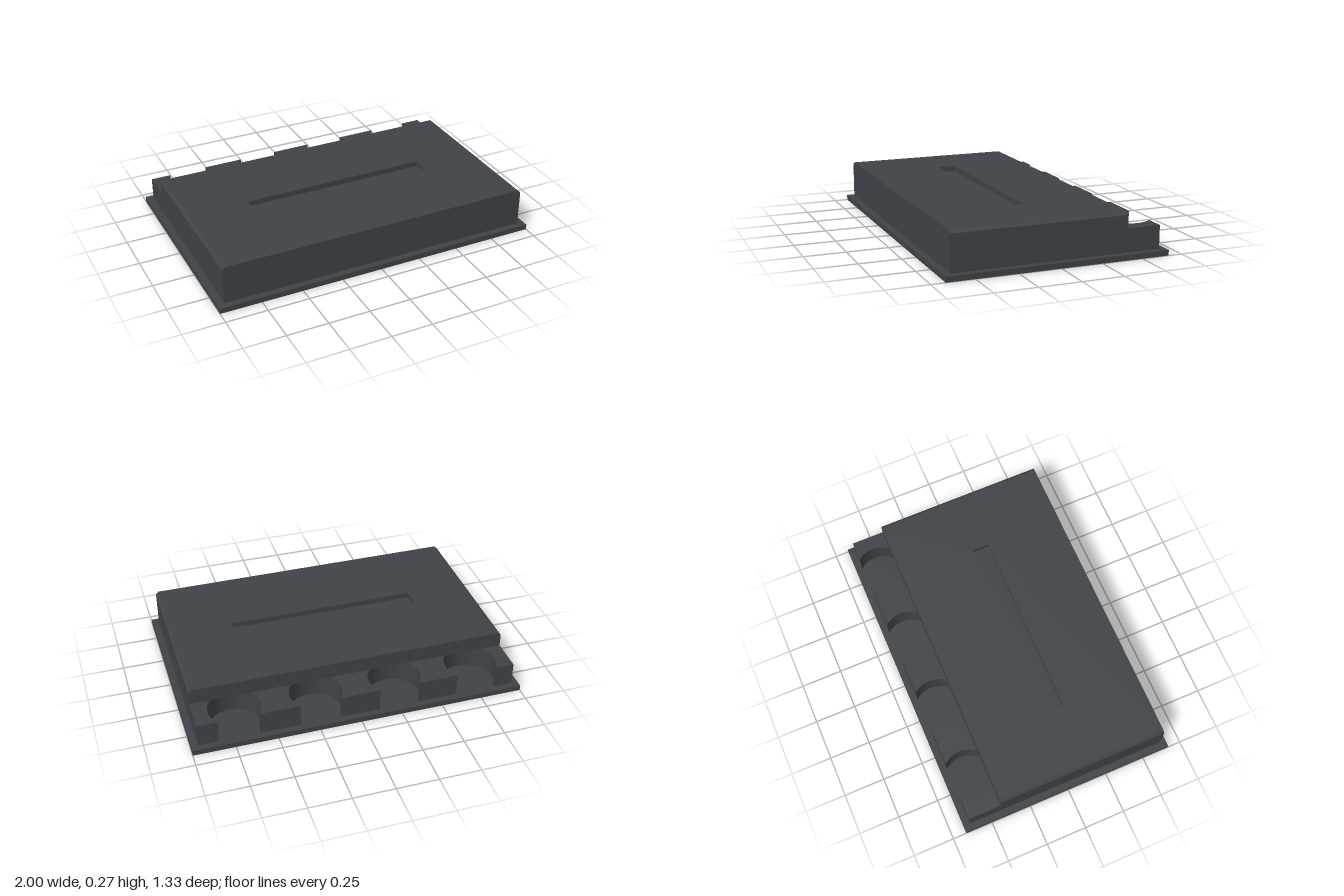
import * as THREE from 'three';
import { toCreasedNormals } from 'three/addons/utils/BufferGeometryUtils.js';

const BODY_X = 0.96, BODY_Z = 0.627, STEP_Z = -0.425;
const BASE_TOP = 0.033, LEDGE_TOP = 0.173, TOP = 0.267, CHAMFER = 0.017;

// Extrude a plan shape (x, -z) upward from y0 to y1
function extrudeUp(shape, y0, y1) {
  const geo = new THREE.ExtrudeGeometry(shape, { depth: y1 - y0, bevelEnabled: false, curveSegments: 32 });
  geo.rotateX(-Math.PI / 2).translate(0, y0, 0);
  return toCreasedNormals(geo, 0.5);
}

function rectPoints(x0, x1, z0, z1) {
  return [[x0, -z1], [x1, -z1], [x1, -z0], [x0, -z0]].map(([x, y]) => new THREE.Vector2(x, y));
}

export function createModel() {
  const group = new THREE.Group();
  const charcoal = new THREE.MeshStandardMaterial({ color: 0x3f4347 });
  charcoal.name = 'charcoal';
  const add = (name, geo) => {
    const mesh = new THREE.Mesh(geo, charcoal);
    mesh.name = name;
    group.add(mesh);
    return mesh;
  };

  // Thin base flange
  add('basePlate', new THREE.BoxGeometry(2, BASE_TOP, 1.334).translate(0, BASE_TOP / 2, 0));

  // Lower body with four round notches open to the back
  const lower = new THREE.Shape();
  lower.moveTo(-BODY_X, -BODY_Z);
  lower.lineTo(BODY_X, -BODY_Z);
  lower.lineTo(BODY_X, BODY_Z);
  const r = 0.155, a = Math.asin(0.1 / r);
  for (const cx of [0.72, 0.24, -0.24, -0.72]) {
    lower.absarc(cx, BODY_Z - 0.1, r, a, Math.PI - a, true);
  }
  lower.lineTo(-BODY_X, BODY_Z);
  lower.closePath();
  add('lowerBody', extrudeUp(lower, BASE_TOP, LEDGE_TOP));

  // Upper body with a long slot
  const inner = BODY_X - CHAMFER;
  const upper = new THREE.Shape(rectPoints(-inner, inner, STEP_Z, BODY_Z));
  upper.holes.push(new THREE.Path(rectPoints(-0.575, 0.575, 0.04, 0.147)));
  add('upperBody', extrudeUp(upper, LEDGE_TOP, TOP));

  // Slot floor
  add('slotFloor', extrudeUp(new THREE.Shape(rectPoints(-0.575, 0.575, 0.04, 0.147)), LEDGE_TOP, TOP - 0.035));

  // Chamfered long edges on both sides
  for (const s of [-1, 1]) {
    const profile = new THREE.Shape([
      [inner, LEDGE_TOP], [BODY_X, LEDGE_TOP], [BODY_X, TOP - CHAMFER], [inner, TOP],
    ].map(([x, y]) => new THREE.Vector2(s * x, y)));
    const geo = new THREE.ExtrudeGeometry(profile, { depth: BODY_Z - STEP_Z, bevelEnabled: false });
    add(s > 0 ? 'leftChamferedEdge' : 'rightChamferedEdge', geo.translate(0, 0, STEP_Z));
  }

  return group;
}
